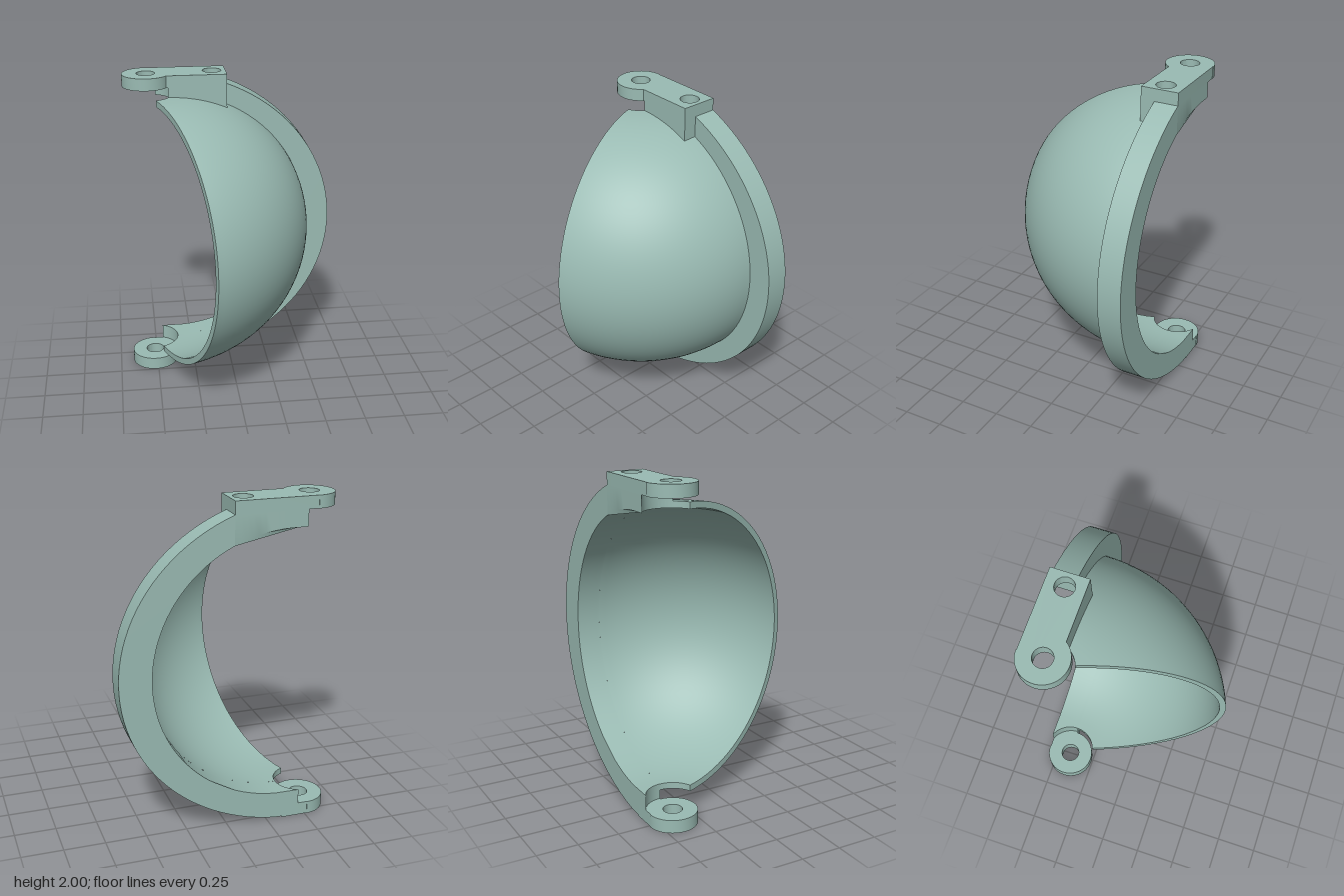
import * as THREE from 'three';
import { toCreasedNormals } from 'three/addons/utils/BufferGeometryUtils.js';

const PX = -0.515, PZ = -0.405;      // hinge axis
const BACK = -0.55, FRONT = -0.32;   // depth of the hinge block
const CLEAR = 0.157, HOLE = 0.058, LUG = 0.148;
const OFF = 0.15, R_OUT = 0.865, R_IN = 0.826; // shell profile

// points along an elliptical arc
function arc(cx, cy, a, b, t0, t1, n) {
  return Array.from({ length: n + 1 }, (_, i) => {
    const t = t0 + (t1 - t0) * i / n;
    return new THREE.Vector2(cx + a * Math.cos(t), cy + b * Math.sin(t));
  });
}

function hole(shape, x, z) {
  shape.holes.push(new THREE.Path().absarc(x, -z, HOLE, 0, Math.PI * 2, true));
}

// extrude a plan outline (x, -z) upward between two heights
function plan(shape, y0, y1) {
  return new THREE.ExtrudeGeometry(shape, { depth: y1 - y0, bevelEnabled: false, curveSegments: 20 })
    .rotateX(-Math.PI / 2).translate(0, y0, 0);
}

function moveVertices(geo, rule) {
  const p = geo.attributes.position, v = new THREE.Vector3();
  for (let i = 0; i < p.count; i++) {
    rule(v.fromBufferAttribute(p, i));
    p.setXYZ(i, v.x, v.y, v.z);
  }
  return geo;
}

const clearX = z => PX + Math.sqrt(Math.max(0, CLEAR ** 2 - (z - PZ) ** 2));

export function createModel() {
  const group = new THREE.Group();
  const mat = new THREE.MeshStandardMaterial({ color: 0x9abbb3 });
  mat.name = 'sage green';
  const add = (name, geo) => {
    const mesh = new THREE.Mesh(toCreasedNormals(geo, 0.6), mat);
    mesh.name = name;
    group.add(mesh);
    return mesh;
  };

  // curved shell: a closed profile swept 70 degrees about the hinge axis
  const e = Math.PI / 2 - 0.008;
  const profile = [
    ...arc(OFF, 1, R_OUT, R_OUT, -e, e, 48),
    ...arc(OFF, 1, R_IN, R_IN, e, -e, 48),
  ];
  const start = THREE.MathUtils.degToRad(20);
  add('shell', new THREE.LatheGeometry([...profile, profile[0].clone()], 28, start, Math.PI / 2 - start)
    .translate(PX, 0, PZ));
  add('shellFreeEdge', new THREE.ShapeGeometry(new THREE.Shape(profile))
    .rotateY(start - Math.PI / 2).translate(PX, 0, PZ));

  // crescent flange behind the shell, its lower end hollowed around the hinge
  const cx = PX + OFF, end = -0.357;
  const flange = new THREE.Shape([
    ...arc(-0.44, 1, 1.095, 1, -Math.acos((end + 0.44) / 1.095), Math.acos(0.42 / 1.095), 48),
    ...arc(cx, 1, R_IN, R_IN, Math.acos((-0.02 - cx) / R_IN), -Math.acos((end - cx) / R_IN), 48),
  ]);
  const flangeGeo = new THREE.ExtrudeGeometry(flange, { depth: PZ - BACK, steps: 8, bevelEnabled: false })
    .translate(0, 0, BACK);
  add('flange', moveVertices(flangeGeo, v => {
    if (Math.abs(v.x - end) < 0.002) v.x = clearX(v.z);
  }));

  // hinge block: underside follows the shell, left end clears the hinge
  const outline = [];
  for (let i = 0; i <= 12; i++) {
    const z = FRONT + (BACK - FRONT) * i / 12;
    outline.push(new THREE.Vector2(clearX(z), -z));
  }
  for (const z of [BACK, FRONT]) {
    const left = clearX(z);
    for (let i = 1; i <= 12; i++) {
      const t = z === BACK ? i / 12 : 1 - (i - 1) / 12;
      if (z === FRONT && t === 0) continue;
      outline.push(new THREE.Vector2(left + (-0.02 - left) * t, -z));
    }
  }
  const block = new THREE.Shape(outline);
  hole(block, -0.105, -0.435);
  add('hingeBlock', moveVertices(plan(block, 1.7, 1.925), v => {
    if (v.y > 1.8) return;
    const d = v.z > PZ ? Math.hypot(v.x - PX, v.z - PZ) : v.x - PX;
    v.y = 1 + Math.sqrt(R_IN ** 2 - Math.max(0, d - OFF) ** 2);
  }));

  // top hinge plate with rounded eye
  const dip = Math.asin((FRONT - PZ) / LUG);
  const top = new THREE.Shape();
  top.moveTo(-0.02, -FRONT);
  top.lineTo(-0.02, -BACK);
  top.lineTo(PX, -BACK);
  top.absarc(PX, -PZ, LUG, Math.PI / 2, Math.PI * 2 - dip, false);
  top.closePath();
  hole(top, PX, PZ);
  hole(top, -0.105, -0.435);
  add('topHingePlate', plan(top, 1.925, 2));

  // bottom hinge eye with a short neck into the flange
  const low = new THREE.Shape();
  low.moveTo(-0.35, -PZ);
  low.lineTo(-0.35, -BACK);
  low.lineTo(PX, -BACK);
  low.absarc(PX, -PZ, LUG, Math.PI / 2, Math.PI * 2, false);
  low.closePath();
  hole(low, PX, PZ);
  add('bottomHingeEye', plan(low, 0, 0.08));

  return group;
}
